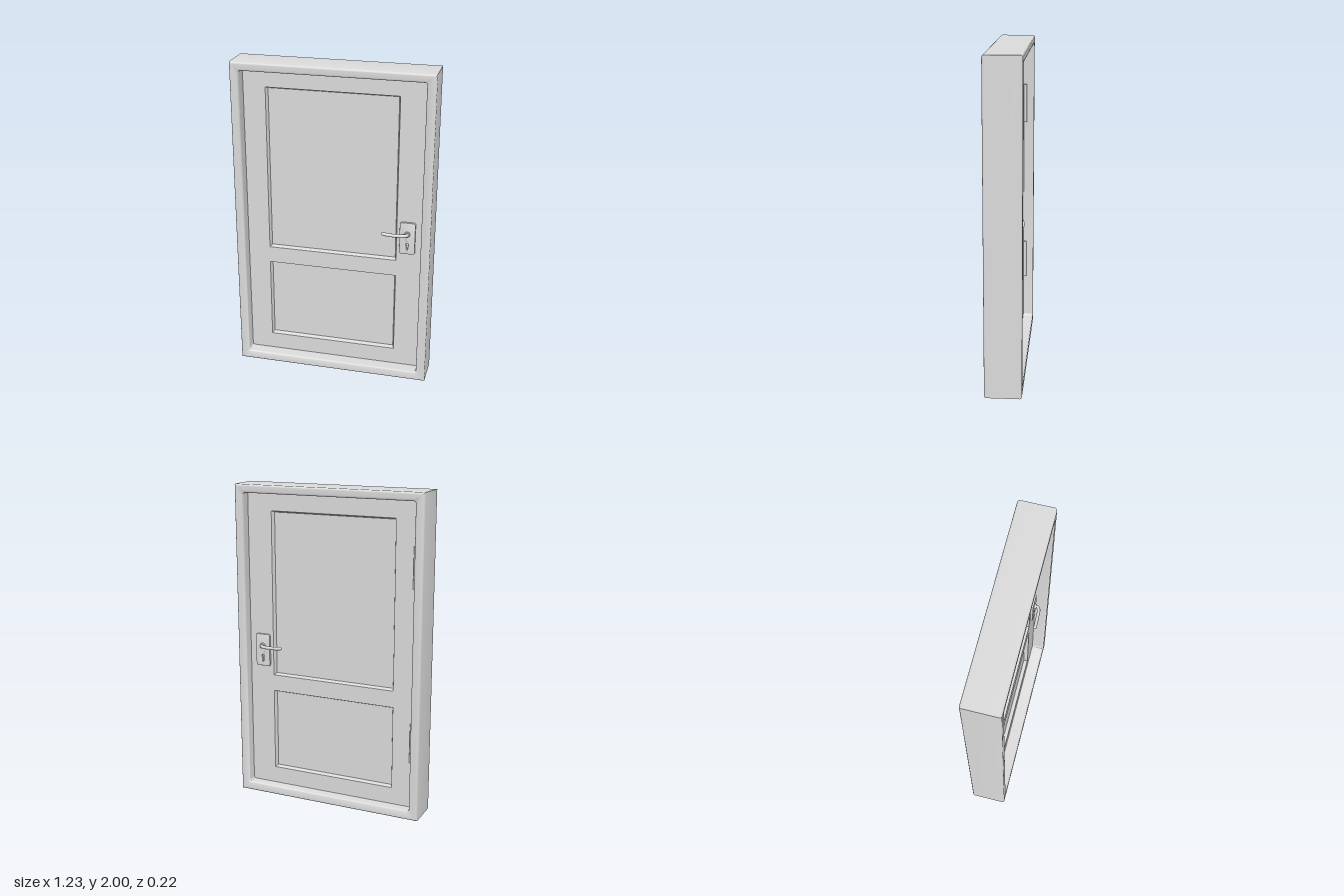
import * as THREE from 'three';
import { toCreasedNormals } from 'three/addons/utils/BufferGeometryUtils.js';

const paint = new THREE.MeshStandardMaterial({ color: 0xdadada });
paint.name = 'light grey';

const DOOR_FRONT = 0.03, DOOR_BACK = -0.046;

function mesh(name, geometry, parent) {
  const m = new THREE.Mesh(geometry, paint);
  m.name = name;
  parent.add(m);
  return m;
}

// Rectangle between two corners, optionally rounded, as a Shape or a Path (for holes)
function rect(Type, x0, y0, x1, y1, r = 0) {
  const p = new Type();
  if (r === 0) {
    p.moveTo(x0, y0);
    p.lineTo(x1, y0);
    p.lineTo(x1, y1);
    p.lineTo(x0, y1);
  } else {
    p.absarc(x1 - r, y0 + r, r, -Math.PI / 2, 0, false);
    p.absarc(x1 - r, y1 - r, r, 0, Math.PI / 2, false);
    p.absarc(x0 + r, y1 - r, r, Math.PI / 2, Math.PI, false);
    p.absarc(x0 + r, y0 + r, r, Math.PI, Math.PI * 1.5, false);
  }
  return p;
}

// Bevelled slab from z0 to z1 whose widest outline is the shape itself
function slab(shape, z0, z1, bevelSize, bevelThickness, bevelSegments) {
  const g = new THREE.ExtrudeGeometry(shape, {
    depth: z1 - z0 - 2 * bevelThickness,
    bevelEnabled: true, bevelSize, bevelThickness, bevelSegments,
    bevelOffset: -bevelSize, curveSegments: 4,
  });
  g.translate(0, 0, z0 + bevelThickness);
  return toCreasedNormals(g, 0.6);
}

// Plate with a keyhole, plus a bent lever; side is +1 (front) or -1 (back)
function makeHandle(name, side, doorZ) {
  const handle = new THREE.Group();
  handle.name = name;
  const px = 0.463, py = 0.985;

  const plate = rect(THREE.Shape, 0.415, 0.853, 0.511, 1.06, 0.012);
  const key = new THREE.Path();
  key.moveTo(px - 0.005, 0.88);
  key.lineTo(px + 0.005, 0.88);
  key.absarc(px, 0.916, 0.01, -Math.PI / 3, Math.PI * 4 / 3, false);
  plate.holes.push(key);
  const far = doorZ + side * 0.016;
  mesh('handlePlate', slab(plate, Math.min(doorZ, far), Math.max(doorZ, far), 0.002, 0.002, 2), handle);

  const collar = mesh('handleCollar', new THREE.CylinderGeometry(0.017, 0.018, 0.014, 20), handle);
  collar.rotation.x = side * Math.PI / 2;
  collar.position.set(px, py, doorZ + side * 0.021);

  const at = (x, y, z) => new THREE.Vector3(x, y, doorZ + side * z);
  const path = new THREE.CatmullRomCurve3([
    at(px, py, 0.014), at(px, py, 0.034), at(px - 0.016, py, 0.046),
    at(0.4, py - 0.001, 0.05), at(0.35, py + 0.001, 0.052), at(0.32, py + 0.005, 0.053),
  ]);
  mesh('lever', new THREE.TubeGeometry(path, 28, 0.0105, 12), handle);
  const tip = mesh('leverTip', new THREE.SphereGeometry(0.0105, 12, 8), handle);
  tip.position.copy(path.getPoint(1));
  return handle;
}

export function createModel() {
  const door = new THREE.Group();
  door.name = 'door';

  // Surround with softly rounded edges
  const outer = rect(THREE.Shape, -0.613, 0, 0.613, 2);
  outer.holes.push(rect(THREE.Path, -0.558, 0.058, 0.556, 1.948, 0.012));
  mesh('frame', slab(outer, -0.112, 0.112, 0.013, 0.013, 4), door);

  // Door leaf with two sloped openings, seated into the frame
  const leaf = new THREE.Group();
  leaf.name = 'doorLeaf';
  door.add(leaf);
  const slope = 0.01, recess = 0.025;
  const rails = rect(THREE.Shape, -0.585, 0.03, 0.585, 1.975);
  const panels = [['lowerPanel', 0.165, 0.69], ['upperPanel', 0.795, 1.84]];
  for (const [name, y0, y1] of panels) {
    rails.holes.push(rect(THREE.Path, -0.42 + slope, y0 + slope, 0.395 - slope, y1 - slope));
    const panel = new THREE.BoxGeometry(0.81, y1 - y0, DOOR_FRONT - DOOR_BACK - 2 * recess);
    mesh(name, panel, leaf).position.set(-0.0125, (y0 + y1) / 2, (DOOR_FRONT + DOOR_BACK) / 2);
  }
  mesh('stilesAndRails', slab(rails, DOOR_BACK, DOOR_FRONT, slope, recess, 1), leaf);

  // Handles on both faces
  door.add(makeHandle('frontHandle', 1, DOOR_FRONT));
  door.add(makeHandle('backHandle', -1, DOOR_BACK));

  // Hinge barrels on the back
  for (const [name, y] of [['lowerHinge', 0.48], ['upperHinge', 1.56]]) {
    const hinge = mesh(name, new THREE.CylinderGeometry(0.012, 0.012, 0.25, 16), door);
    hinge.position.set(-0.548, y, -0.055);
  }
  return door;
}
